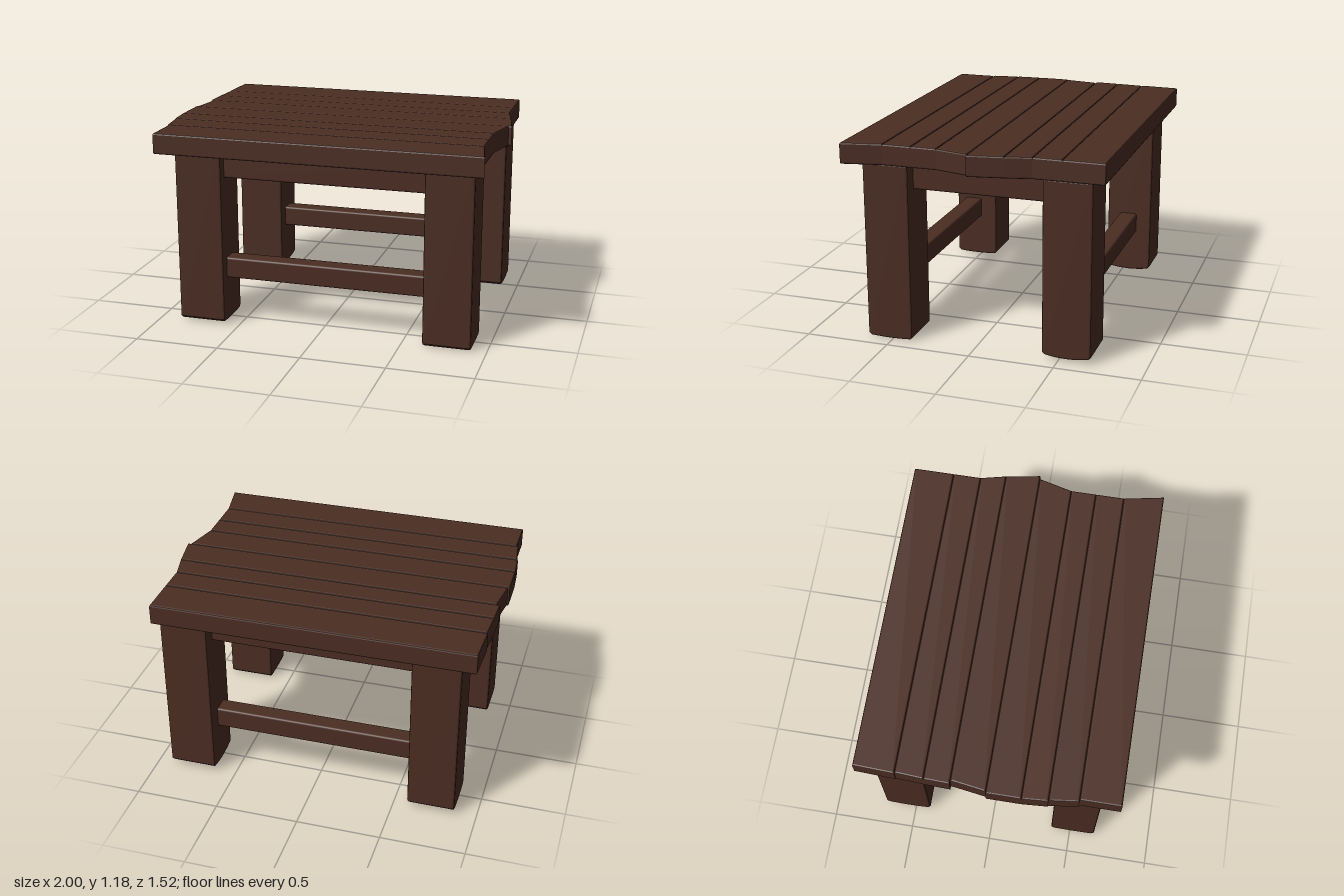
import * as THREE from 'three';
import { RoundedBoxGeometry } from 'three/addons/geometries/RoundedBoxGeometry.js';

const wood = new THREE.MeshStandardMaterial({ color: 0x4b2d23 });
wood.name = 'dark brown wood';

// Extrudes an outline with softened edges, centred on its depth
function bevelled(shape, depth, b) {
  const geo = new THREE.ExtrudeGeometry(shape, {
    depth: depth - 2 * b, bevelThickness: b, bevelSize: b, bevelOffset: -b,
    bevelSegments: 2, curveSegments: 8,
  });
  return geo.translate(0, 0, b - depth / 2);
}

export function createModel() {
  const table = new THREE.Group();
  table.name = 'table';
  const add = (name, geo, x = 0, y = 0, z = 0) => {
    const mesh = new THREE.Mesh(geo, wood);
    mesh.name = name;
    mesh.position.set(x, y, z);
    table.add(mesh);
  };
  const beam = (name, x0, x1, y0, y1, z0, z1) =>
    add(name, new RoundedBoxGeometry(x1 - x0, y1 - y0, z1 - z0, 2, 0.012),
      (x0 + x1) / 2, (y0 + y1) / 2, (z0 + z1) / 2);

  // Tabletop planks with unevenly sawn ends: [z back, z front, left back, left front, right back, right front]
  const planks = [
    [-0.76, -0.52, -0.96, -0.97, 0.93, 0.93],
    [-0.52, -0.355, -0.965, -0.975, 0.93, 0.93],
    [-0.355, -0.205, -0.975, -0.98, 0.93, 0.965],
    [-0.205, 0, -0.96, -0.99, 0.965, 1],
    [0, 0.2, -1, -1, 0.98, 0.93],
    [0.2, 0.35, -1, -0.99, 0.93, 0.93],
    [0.35, 0.52, -0.985, -0.965, 0.93, 0.93],
    [0.52, 0.757, -0.955, -0.955, 0.93, 0.975],
  ];
  planks.forEach(([zb, zf, lb, lf, rb, rf], i) => {
    const outline = new THREE.Shape([[lf, -zf], [rf, -zf], [rb, -zb], [lb, -zb]]
      .map(([x, y]) => new THREE.Vector2(x, y)));
    add(`plank${i + 1}`, bevelled(outline, 0.125, 0.01).rotateX(-Math.PI / 2), 0, 1.1175, 0);
  });

  // Square legs with gently worn, rounded feet
  const leg = (name, x0, x1, z0, z1, foot, bulge) => {
    const s = new THREE.Shape();
    s.moveTo(z0, 1.06);
    s.lineTo(z0, foot + bulge + 0.015);
    s.lineTo(z0 + 0.015, foot + bulge);
    s.quadraticCurveTo((z0 + z1) / 2, foot - bulge, z1 - 0.015, foot + bulge);
    s.lineTo(z1, foot + bulge + 0.015);
    s.lineTo(z1, 1.06);
    add(name, bevelled(s, x1 - x0, 0.012).rotateY(-Math.PI / 2), (x0 + x1) / 2, 0, 0);
  };
  for (const [side, x0, x1, foot] of [['Right', -0.87, -0.585, 0.01], ['Left', 0.625, 0.91, 0]]) {
    leg(`front${side}Leg`, x0, x1, 0.38, 0.655, foot, 0.005);
    leg(`back${side}Leg`, x0, x1, -0.69, -0.405, 0.015, 0.013);
    // Apron under the short side
    const mid = (x0 + x1) / 2;
    beam(`side${side}Apron`, mid - 0.06, mid + 0.06, 0.9, 1.06, -0.43, 0.4);
  }

  // Long aprons and low stretchers
  for (const [end, z] of [['front', 0.54], ['back', -0.54]]) {
    beam(`${end}Apron`, -0.61, 0.65, 0.9, 1.06, z - 0.06, z + 0.06);
    beam(`${end}Stretcher`, -0.61, 0.65, 0.28, 0.407, z - 0.055, z + 0.055);
  }
  return table;
}
